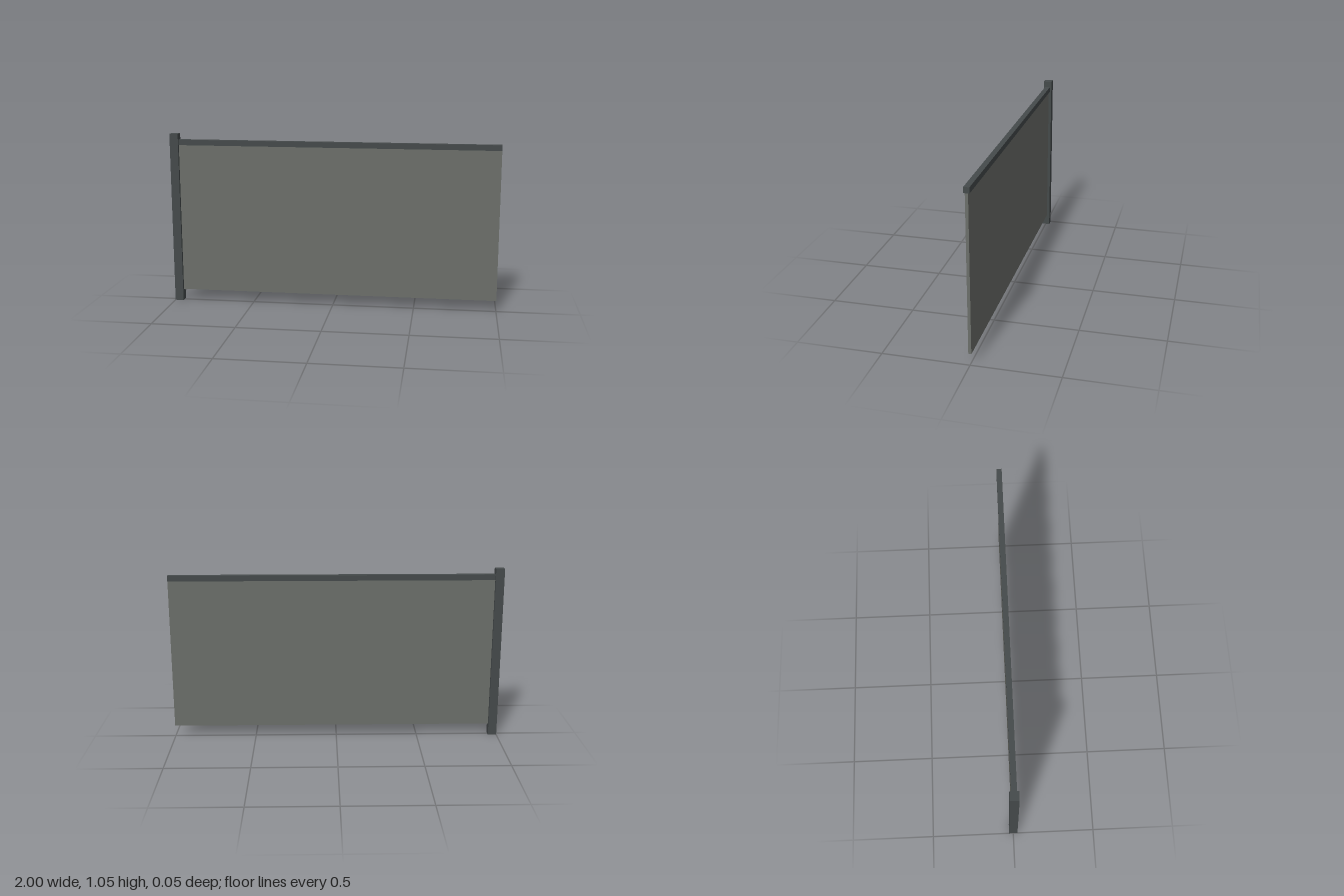
import * as THREE from 'three';

export function createModel() {
  const model = new THREE.Group();
  model.name = 'fenceSection';

  const frame = new THREE.MeshStandardMaterial({ color: 0x454a4b });
  frame.name = 'dark grey frame';
  const infill = new THREE.MeshStandardMaterial({ color: 0x6c6f6a });
  infill.name = 'grey panel';

  // Box given by its x and y extents and its depth, centred on z = 0
  function addBox(name, material, x0, x1, y0, y1, depth) {
    const mesh = new THREE.Mesh(new THREE.BoxGeometry(x1 - x0, y1 - y0, depth), material);
    mesh.position.set((x0 + x1) / 2, (y0 + y1) / 2, 0);
    mesh.name = name;
    model.add(mesh);
  }

  // Square post at one end only, so sections can be chained
  addBox('post', frame, -1, -0.948, 0, 1.053, 0.052);
  // Handrail along the top
  addBox('topRail', frame, -0.948, 1, 0.984, 1.017, 0.032);
  // Thin infill panel, raised above the ground
  addBox('panel', infill, -0.948, 1, 0.069, 0.984, 0.017);

  return model;
}
